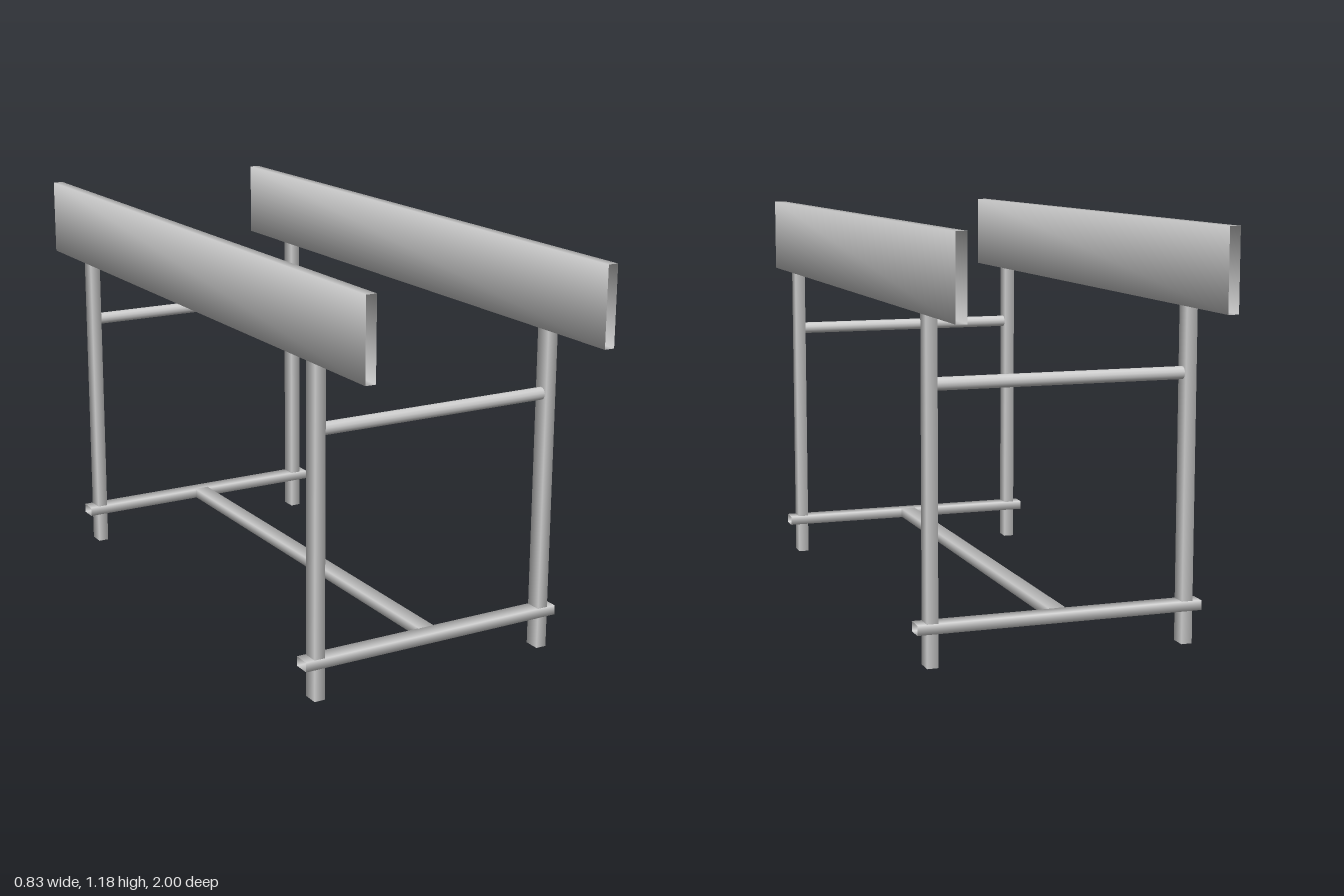
import * as THREE from 'three';

const material = new THREE.MeshStandardMaterial({ color: 0xcccccc, side: THREE.DoubleSide });

// Open-ended tube along y, softly shaded; size is the full width, length and depth
function tube(name, width, length, depth, sides = 4) {
  const geometry = new THREE.CylinderGeometry(0.5, 0.5, 1, sides, 1, true);
  geometry.rotateY(Math.PI / sides);
  const fit = 1 / Math.cos(Math.PI / sides);
  // Only the positions are scaled, so the corner normals stay diagonal
  geometry.attributes.position.applyMatrix4(
    new THREE.Matrix4().makeScale(width * fit, length, depth * fit));
  const mesh = new THREE.Mesh(geometry, material);
  mesh.name = name;
  return mesh;
}

export function createModel() {
  const model = new THREE.Group();
  model.name = 'trestleStand';
  const add = (mesh, x, y, z) => {
    mesh.position.set(x, y, z);
    model.add(mesh);
    return mesh;
  };

  const postX = 0.372;
  const frameZ = 0.73;

  for (const sx of [1, -1]) {
    const side = sx > 0 ? 'left' : 'right';

    // Long upright board
    add(tube(side + 'Board', 0.031, 2, 0.23), sx * postX, 1.062, 0).rotation.x = Math.PI / 2;
    // The board's length runs along z, its height along y

    // Posts under the board
    for (const sz of [1, -1]) {
      add(tube(side + (sz > 0 ? 'FrontPost' : 'BackPost'), 0.032, 0.947, 0.048),
        sx * postX, 0.4735, sz * frameZ);
    }
  }

  for (const sz of [1, -1]) {
    const end = sz > 0 ? 'front' : 'back';
    // Flat lower rail passing through the posts
    add(tube(end + 'LowerRail', 0.028, 0.83, 0.051), 0, 0.108, sz * frameZ).rotation.z = Math.PI / 2;
    // Round upper rail between the posts
    add(tube(end + 'UpperRail', 0.035, 0.72, 0.035, 12), 0, 0.763, sz * frameZ).rotation.z = Math.PI / 2;
  }

  // Long stretcher joining the lower rails
  add(tube('stretcher', 0.048, 1.42, 0.028), 0, 0.11, 0).rotation.x = Math.PI / 2;

  return model;
}
